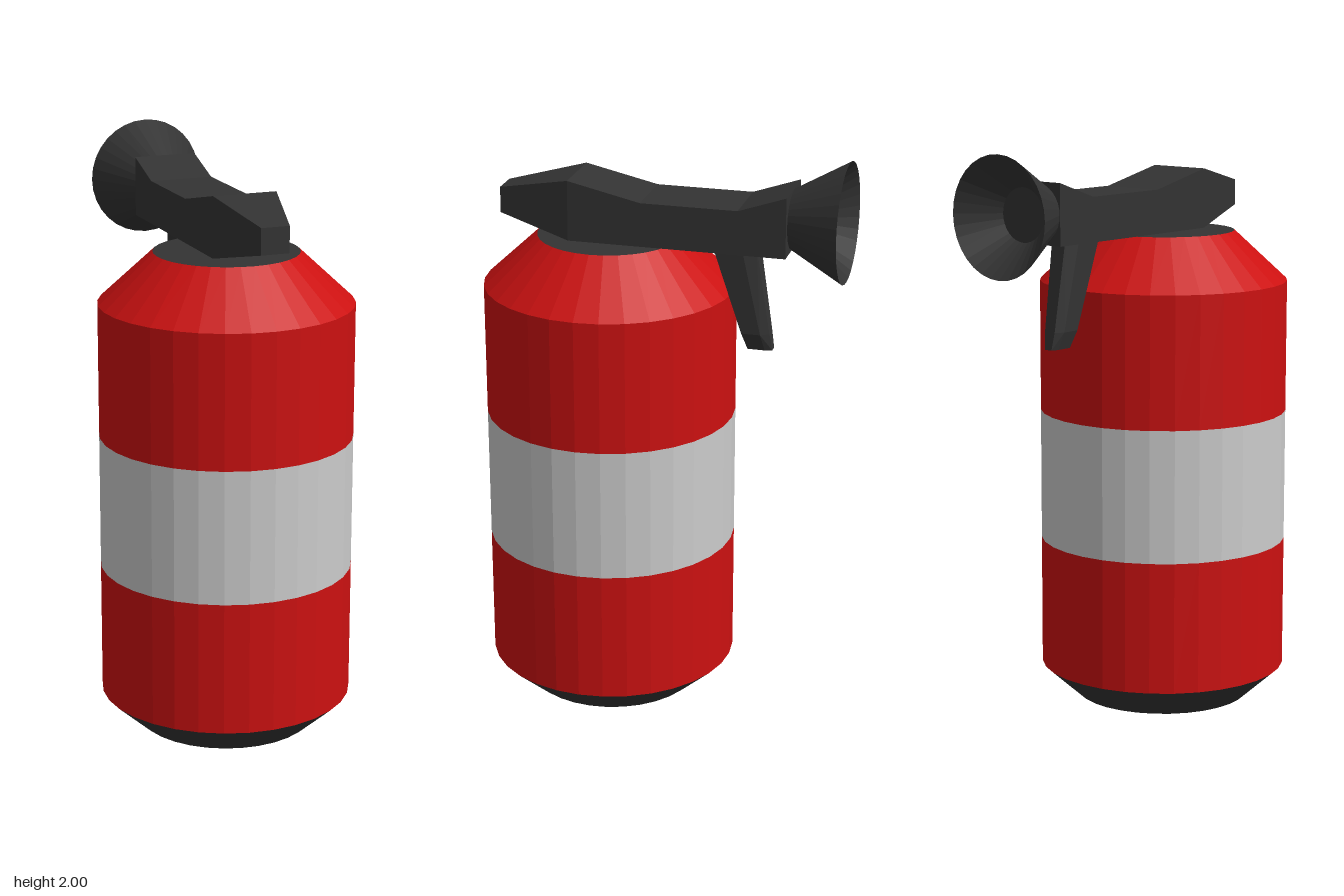
import * as THREE from 'three';
import { ConvexGeometry } from 'three/addons/geometries/ConvexGeometry.js';

const mat = (color, side = THREE.FrontSide) =>
  new THREE.MeshStandardMaterial({ color, side, flatShading: true });

export function createModel() {
  const model = new THREE.Group();
  const red = mat(0xcc1111), dark = mat(0x333333), grey = mat(0xcccccc);
  const darkThin = mat(0x333333, THREE.DoubleSide);

  const add = (name, geometry, material, parent = model) => {
    const mesh = new THREE.Mesh(geometry, material);
    mesh.name = name;
    parent.add(mesh);
    return mesh;
  };

  // Tank: stacked 32-sided rings, each [name, y0, r0, y1, r1, material]
  const tank = new THREE.Group();
  tank.name = 'tank';
  tank.position.z = 0.195;
  model.add(tank);
  const R = 0.438;
  [
    ['base', 0, 0.31, 0.115, R, dark],
    ['lowerBody', 0.115, R, 0.58, R, red],
    ['labelBand', 0.58, R, 1.047, R, grey],
    ['upperBody', 1.047, R, 1.512, R, red],
    ['shoulder', 1.512, R, 1.687, 0.25, red],
  ].forEach(([name, y0, r0, y1, r1, material]) => {
    const ring = new THREE.CylinderGeometry(r1, r0, y1 - y0, 32, 1, true);
    add(name, ring.translate(0, (y0 + y1) / 2, 0), material, tank);
  });
  add('bottomDisc', new THREE.CircleGeometry(0.31, 32).rotateX(Math.PI / 2), dark, tank);
  add('topCap', new THREE.CircleGeometry(0.25, 32).rotateX(-Math.PI / 2).translate(0, 1.687, 0), dark, tank);

  // Handle: box bent to stations of [z, bottom, top, half width], back to front
  const stations = [
    [-0.45, 1.69, 1.9, 0.113],
    [-0.285, 1.69, 1.843, 0.113],
    [0.05, 1.69, 1.843, 0.113],
    [0.305, 1.69, 1.9, 0.113],
    [0.565, 1.75, 1.84, 0.05],
  ];
  const handle = new THREE.BoxGeometry(1, 1, 1, 1, 1, stations.length - 1);
  const p = handle.attributes.position;
  for (let i = 0; i < p.count; i++) {
    const [z, low, high, half] = stations[Math.round((p.getZ(i) + 0.5) * (stations.length - 1))];
    p.setXYZ(i, 0.02 + Math.sign(p.getX(i)) * half, p.getY(i) > 0 ? high : low, z);
  }
  handle.computeVertexNormals();
  add('handle', handle, dark);

  // Trigger: tapered lever with narrowed rear edge and tip
  const points = [];
  [
    [1.7, -0.183, -0.285, -0.333, 0.05, 0.03],
    [1.385, -0.286, -0.352, -0.381, 0.04, 0.022],
    [1.325, -0.305, -0.365, -0.39, 0.022, 0.015],
  ].forEach(([y, front, mid, back, wide, narrow]) => {
    for (const s of [-1, 1]) {
      points.push(
        new THREE.Vector3(0.02 + s * wide, y, front),
        new THREE.Vector3(0.02 + s * wide, y, mid),
        new THREE.Vector3(0.02 + s * narrow, y, back));
    }
  });
  add('trigger', new ConvexGeometry(points), dark);

  // Horn: flared nozzle with a recessed disc inside
  const horn = new THREE.Group();
  horn.name = 'horn';
  horn.position.set(0.012, 1.793, 0);
  model.add(horn);
  const cone = (rFront, zFront) =>
    new THREE.CylinderGeometry(rFront, 0.207, zFront + 0.635, 32, 1, true)
      .rotateX(Math.PI / 2).translate(0, 0, (zFront - 0.635) / 2);
  add('hornOuter', cone(0.103, -0.45), dark, horn);
  add('hornInner', cone(0.092, -0.515), darkThin, horn);
  add('nozzleDisc', new THREE.CircleGeometry(0.092, 32).rotateY(Math.PI).translate(0, 0, -0.515), dark, horn);

  return model;
}
